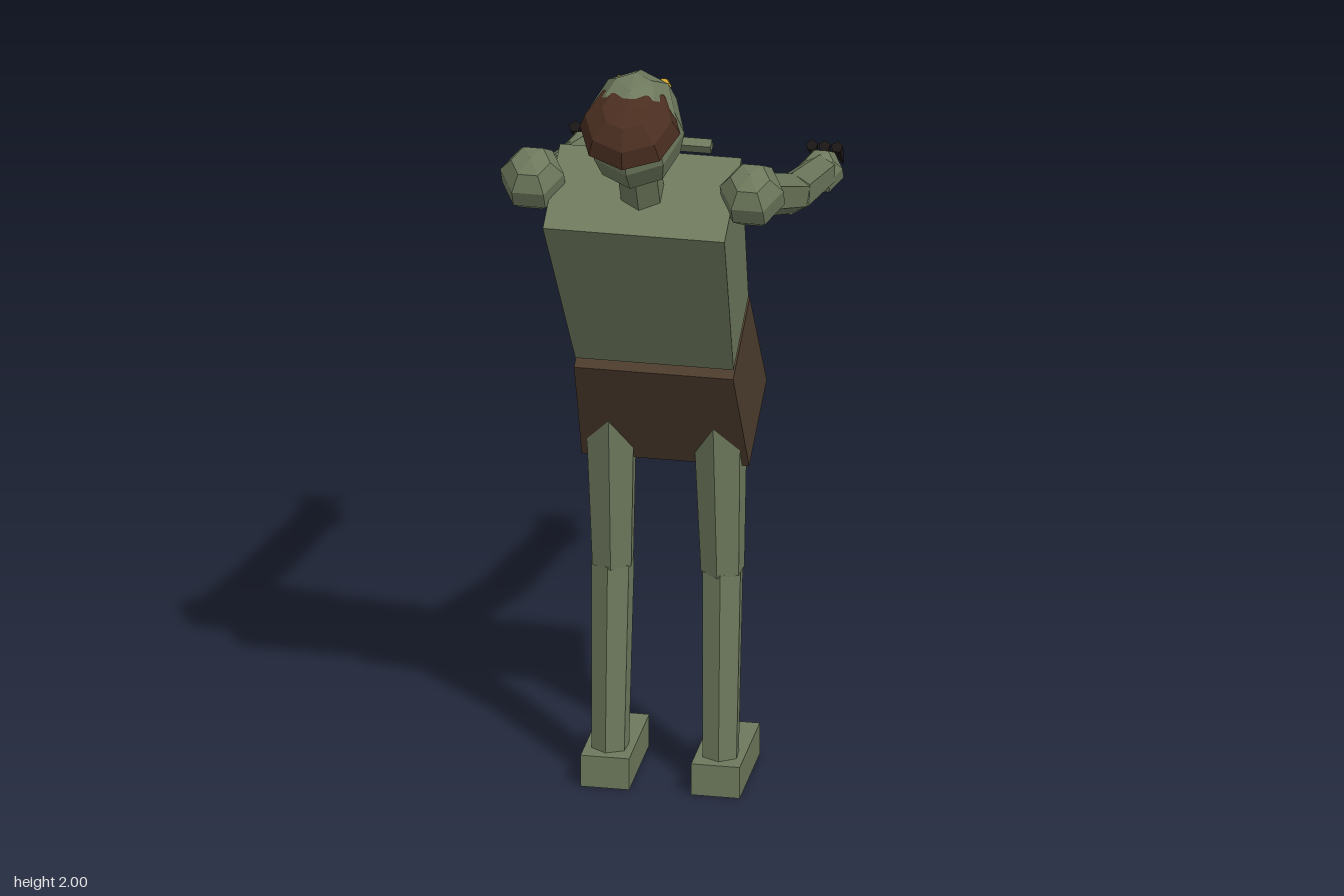
import * as THREE from 'three';

const LEAN = 0.5; // forward tilt shared by torso, pelvis and head

const paint = (color) => new THREE.MeshStandardMaterial({ color, flatShading: true });

export function createModel() {
  const model = new THREE.Group();
  const skin = paint(0x6d785c), cloth = paint(0x4c3b2c), hairMat = paint(0x4a2e20);
  const red = paint(0x8a2222), gold = paint(0xd4a52a), dark = paint(0x1a1614);

  function add(name, geometry, material, x, y, z, tilt = 0) {
    const mesh = new THREE.Mesh(geometry, material);
    mesh.name = name;
    mesh.position.set(x, y, z);
    mesh.rotation.x = tilt;
    model.add(mesh);
    return mesh;
  }

  // Six-sided tapered limb between two points
  function limb(name, a, b, rA, rB, material = skin, sides = 6) {
    const from = new THREE.Vector3(...a), to = new THREE.Vector3(...b);
    const dir = to.clone().sub(from);
    const mid = from.add(to).multiplyScalar(0.5);
    const mesh = add(name, new THREE.CylinderGeometry(rB, rA, dir.length(), sides), material, mid.x, mid.y, mid.z);
    mesh.quaternion.setFromUnitVectors(new THREE.Vector3(0, 1, 0), dir.normalize());
    return mesh;
  }

  // Box whose top and bottom differ in size
  function taperedBox(topW, bottomW, height, depthRatio) {
    return new THREE.CylinderGeometry(topW * Math.SQRT1_2, bottomW * Math.SQRT1_2, height, 4)
      .rotateY(Math.PI / 4)
      .scale(1, 1, depthRatio);
  }

  // Body
  add('torso', taperedBox(0.434, 0.378, 0.523, 0.575), skin, 0, 1.421, 0.188, LEAN);
  add('pelvis', taperedBox(0.38, 0.4, 0.328, 0.638), cloth, 0, 1.034, -0.016, LEAN);
  limb('neck', [0, 1.62, 0.295], [0, 1.78, 0.375], 0.054, 0.054);

  // Ribs across the chest
  [[1.575, 0.134], [1.66, 0.18], [1.745, 0.227]].forEach(([y, z]) =>
    add('rib', new THREE.BoxGeometry(0.3, 0.025, 0.024), skin, 0, y, z, LEAN));

  // Head
  add('head', new THREE.SphereGeometry(1, 8, 6).scale(0.117, 0.15, 0.138), skin, 0, 1.855, 0.4, LEAN);
  // Hair: half dome with a closed underside
  const dome = Array.from({ length: 4 }, (_, i) => {
    const t = (i / 3) * Math.PI / 2;
    return new THREE.Vector2(0.12 * Math.cos(t), 0.092 * Math.sin(t));
  });
  add('hair', new THREE.LatheGeometry([new THREE.Vector2(0, 0), ...dome], 8), hairMat, 0, 1.884, 0.467, LEAN);
  add('jaw', new THREE.BoxGeometry(0.142, 0.05, 0.1), red, 0, 1.8, 0.284, LEAN);

  [-1, 1].forEach((s) => {
    const side = s > 0 ? 'left' : 'right';
    add(side + 'Eye', new THREE.SphereGeometry(0.018, 6, 4), gold, s * 0.052, 1.932, 0.312, LEAN);

    // Arm, hand and claws
    const shoulder = [s * 0.262, 1.665, 0.307], elbow = [s * 0.284, 1.5, -0.07], wrist = [s * 0.283, 1.39, -0.44];
    add(side + 'Shoulder', new THREE.SphereGeometry(0.08, 6, 5), skin, ...shoulder, LEAN);
    limb(side + 'UpperArm', shoulder, elbow, 0.055, 0.048);
    limb(side + 'Forearm', elbow, wrist, 0.05, 0.042);
    add(side + 'Hand', new THREE.SphereGeometry(0.055, 6, 5), skin, s * 0.283, 1.383, -0.458, LEAN);
    [-0.03, 0, 0.03].forEach((dx) => {
      const x = s * 0.283 + dx;
      limb(side + 'Claw', [x, 1.43, -0.498], [x, 1.346, -0.583], 0.015, 0, dark, 5);
    });

    // Leg and foot
    const knee = [s * 0.131, 0.545, -0.013];
    limb(side + 'Thigh', [s * 0.13, 0.96, 0.013], knee, 0.066, 0.053);
    limb(side + 'Shin', knee, [s * 0.132, 0.07, 0.017], 0.052, 0.046);
    add(side + 'Foot', new THREE.BoxGeometry(0.116, 0.08, 0.256), skin, s * 0.132, 0.04, -0.043);
  });

  return model;
}
